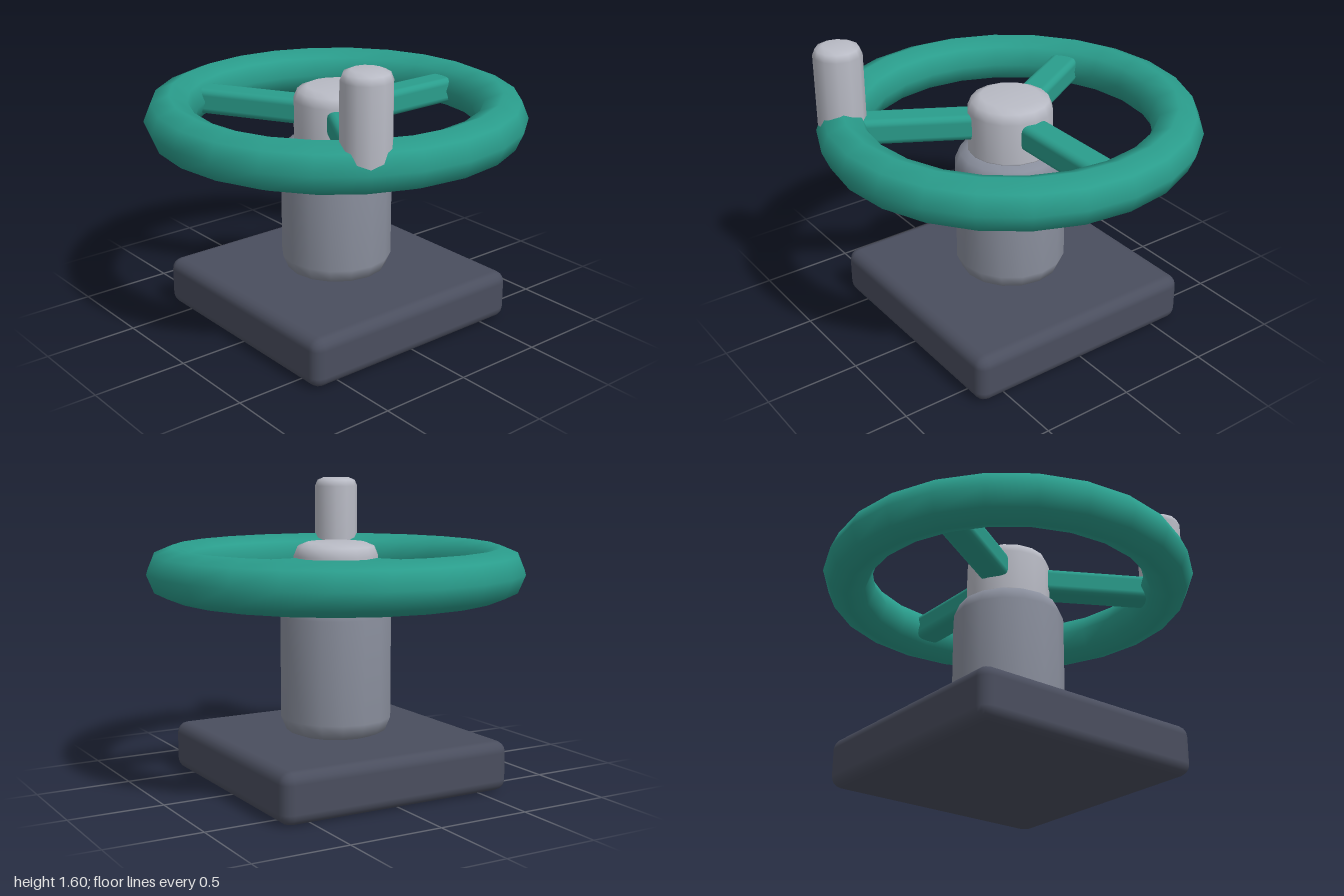
import * as THREE from 'three';
import { RoundedBoxGeometry } from 'three/addons/geometries/RoundedBoxGeometry.js';

const RIM_Y = 1.136;

// Upright cylinder with bevelled ends
function post(radius, y0, y1, bottomBevel, topBevel, sides) {
  const pts = [new THREE.Vector2(0, y0)];
  for (let i = 0; i <= 2; i++) {
    const a = (i / 2) * Math.PI / 2;
    pts.push(new THREE.Vector2(
      radius - bottomBevel * (1 - Math.sin(a)), y0 + bottomBevel * (1 - Math.cos(a))));
  }
  for (let i = 0; i <= 2; i++) {
    const a = (i / 2) * Math.PI / 2;
    pts.push(new THREE.Vector2(
      radius - topBevel * (1 - Math.cos(a)), y1 - topBevel * (1 - Math.sin(a))));
  }
  pts.push(new THREE.Vector2(0, y1));
  return new THREE.LatheGeometry(pts, sides);
}

export function createModel() {
  const model = new THREE.Group();
  model.name = 'valveWheel';

  const paint = (name, color) => {
    const m = new THREE.MeshStandardMaterial({ color });
    m.name = name;
    return m;
  };
  const slate = paint('darkSlate', 0x4a4e5e);
  const steel = paint('steelGrey', 0x8a8f9d);
  const silver = paint('paleSilver', 0xb9bbc5);
  const green = paint('tealGreen', 0x2a9d8c);

  const add = (name, geometry, material, parent = model) => {
    const mesh = new THREE.Mesh(geometry, material);
    mesh.name = name;
    parent.add(mesh);
    return mesh;
  };

  // Square foot and column
  add('base', new RoundedBoxGeometry(1.325, 0.265, 1.325, 2, 0.06), slate).position.y = 0.1325;
  add('column', post(0.297, 0.255, 1.0, 0.1, 0.1, 16), steel);

  // Wheel rim
  const rim = new THREE.TorusGeometry(0.867, 0.133, 8, 24);
  rim.rotateX(Math.PI / 2);
  add('rim', rim, green).position.y = RIM_Y;

  // Three spokes: one to the back, two towards the front corners
  const spokes = new THREE.Group();
  spokes.name = 'spokes';
  model.add(spokes);
  for (let i = 0; i < 3; i++) {
    const geometry = new RoundedBoxGeometry(0.16, 0.14, 0.72, 2, 0.035);
    geometry.translate(0, 0, -0.46);
    const spoke = add('spoke', geometry, green, spokes);
    spoke.position.y = RIM_Y;
    spoke.rotation.y = (i * Math.PI * 2) / 3;
  }

  // Hub cap
  add('hub', post(0.225, 0.985, 1.285, 0.01, 0.07, 16), silver);

  // Crank handle standing on the rim above the front left spoke
  add('handle', post(0.125, 1.1, 1.6, 0.04, 0.05, 12), silver).position.set(0.748, 0, 0.432);

  return model;
}
